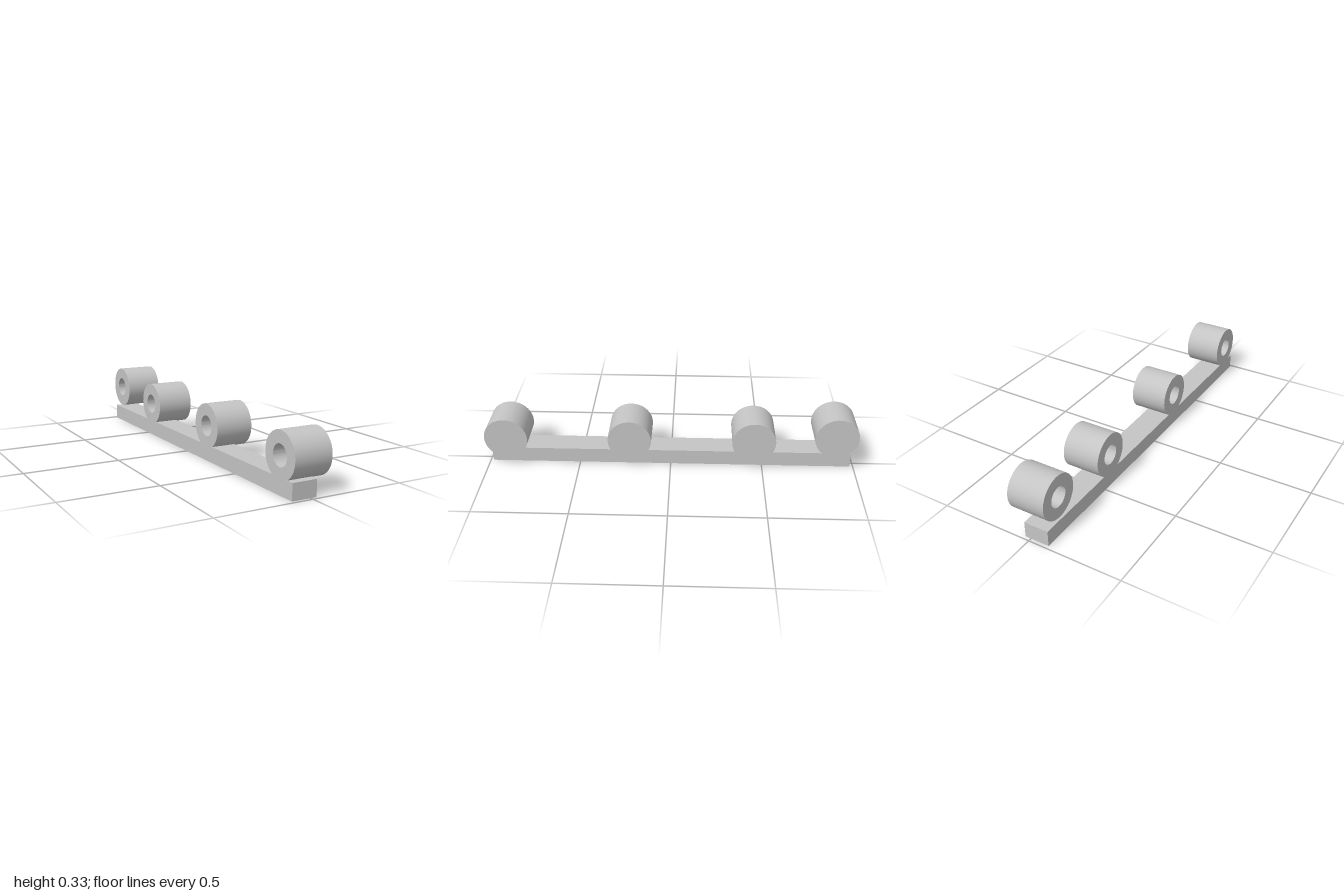
import * as THREE from 'three';
import { toCreasedNormals } from 'three/addons/utils/BufferGeometryUtils.js';

export function createModel() {
  const model = new THREE.Group();
  model.name = 'railWithKnobs';
  const grey = new THREE.MeshStandardMaterial({ color: 0xc4c4c4 });
  grey.name = 'lightGrey';

  // Long square-edged rail
  const rail = new THREE.Mesh(new THREE.BoxGeometry(0.132, 0.084, 1.965), grey);
  rail.name = 'rail';
  rail.position.set(-0.034, 0.042, 0.001);
  model.add(rail);

  // Cylinder with a blind bore opening towards -x
  const radius = 0.116, bore = 0.054, half = 0.1, boreFloor = 0.05;
  const profile = [
    [0, boreFloor], [bore, boreFloor], [bore, -half],
    [radius, -half], [radius, half], [0, half],
  ].map(([r, y]) => new THREE.Vector2(r, y));
  const knobGeometry = toCreasedNormals(new THREE.LatheGeometry(profile, 64), 0.6);
  knobGeometry.rotateZ(-Math.PI / 2);

  // Three knobs sunk into the rail, and a raised one at the back
  [[0.884, 0.184], [0.219, 0.184], [-0.447, 0.184], [-0.884, 0.218]].forEach(([z, y], i) => {
    const knob = new THREE.Mesh(knobGeometry, grey);
    knob.name = `knob${i + 1}`;
    knob.position.set(0, y, z);
    model.add(knob);
  });

  return model;
}
